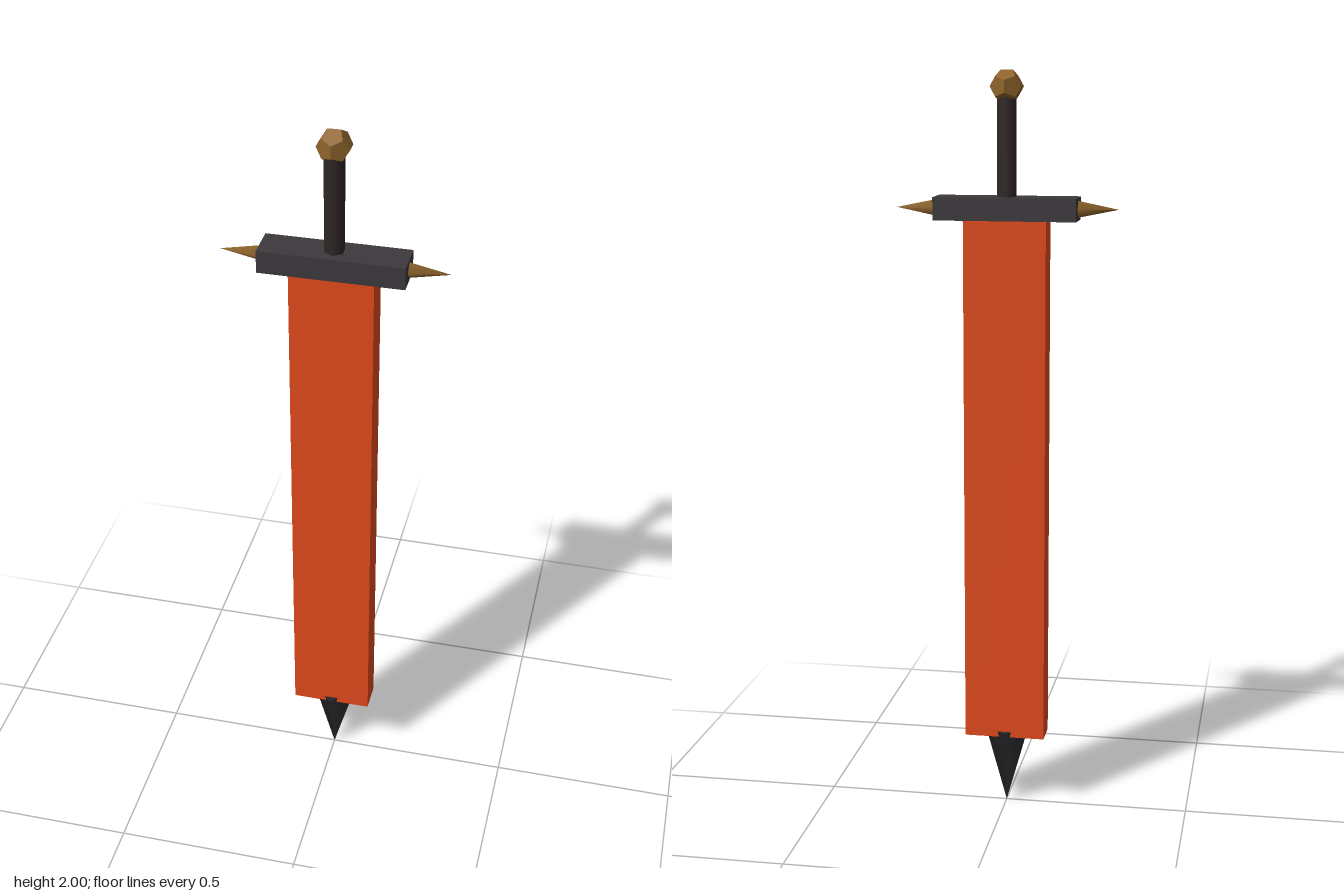
import * as THREE from 'three';

const mat = (color, flatShading = false) => new THREE.MeshStandardMaterial({ color, flatShading });

export function createModel() {
  const sword = new THREE.Group();
  sword.name = 'sword';

  const red = mat(0xe04a1c);
  const iron = mat(0x3c383c);
  const darkIron = mat(0x29272b);
  const leather = mat(0x2e2624);
  const bronze = mat(0x8f642c);

  const add = (name, geometry, material, x, y, z = 0) => {
    const mesh = new THREE.Mesh(geometry, material);
    mesh.name = name;
    mesh.position.set(x, y, z);
    sword.add(mesh);
    return mesh;
  };

  // Slab blade, from the tip up to the crossguard
  add('blade', new THREE.BoxGeometry(0.218, 1.417, 0.082), red, 0, 0.9085);

  // Four-sided spike at the bottom, its corners standing proud of the blade
  const tip = add('bladeTip', new THREE.ConeGeometry(0.06, 0.215, 4), darkIron, 0, 0.1075);
  tip.rotation.x = Math.PI;

  // Crossguard with a spike at each end
  add('crossguard', new THREE.BoxGeometry(0.376, 0.06, 0.095), iron, 0, 1.647);
  for (const side of [1, -1]) {
    const spike = add(side > 0 ? 'leftGuardSpike' : 'rightGuardSpike',
      new THREE.ConeGeometry(0.022, 0.107, 4), bronze, side * 0.2395, 1.647);
    spike.rotation.z = -side * Math.PI / 2;
  }

  // Six-sided grip and faceted pommel
  add('grip', new THREE.CylinderGeometry(0.027, 0.027, 0.275, 6), leather, 0, 1.8);
  add('pommel', new THREE.DodecahedronGeometry(0.045), bronze, 0, 1.958);

  return sword;
}
